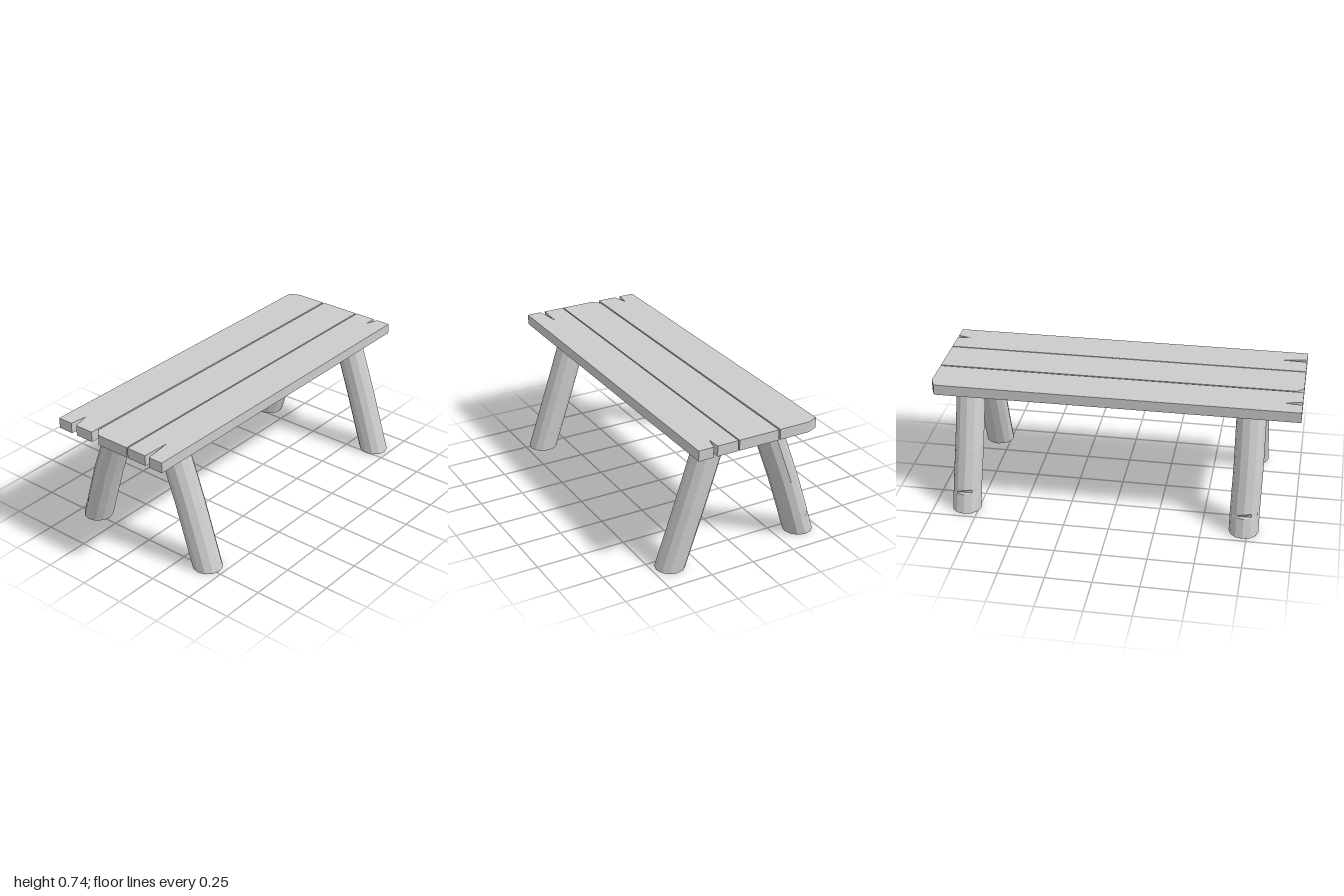
import * as THREE from 'three';

const material = new THREE.MeshStandardMaterial({ color: 0xcccccc, flatShading: true });
const SEAT_BOTTOM = 0.68, SEAT_THICKNESS = 0.058, LEG_RADIUS = 0.081;

// A plank from its outline, given as [x, z] corners
function plank(name, outline) {
  const shape = new THREE.Shape(outline.map(([x, z]) => new THREE.Vector2(x, -z)));
  const geometry = new THREE.ExtrudeGeometry(shape, { depth: SEAT_THICKNESS, bevelEnabled: false });
  geometry.rotateX(-Math.PI / 2).translate(0, SEAT_BOTTOM, 0);
  const mesh = new THREE.Mesh(geometry, material);
  mesh.name = name;
  return mesh;
}

// A leaning log: a cylinder whose rows follow level rings { y, x, z, cut }, top to bottom.
// A ring with a cut has its rear flattened, which makes a small axe notch.
function leg(name, x0, rings) {
  const rows = rings.length - 1;
  const geometry = new THREE.CylinderGeometry(LEG_RADIUS, LEG_RADIUS, rows, 12, rows);
  const p = geometry.attributes.position;
  for (let i = 0; i < p.count; i++) {
    const ring = rings[Math.round(rows / 2 - p.getY(i))];
    const dz = ring.cut ? Math.max(p.getZ(i), -ring.cut) : p.getZ(i);
    p.setXYZ(i, p.getX(i) + x0 + ring.x, ring.y, dz + ring.z);
  }
  geometry.computeVertexNormals();
  const mesh = new THREE.Mesh(geometry, material);
  mesh.name = name;
  return mesh;
}

export function createModel() {
  const model = new THREE.Group();
  model.name = 'bench';

  // Seat planks with split ends and worn corners
  model.add(
    plank('frontPlank', [
      [-1, 0.112], [1, 0.112], [1, 0.232], [0.925, 0.235], [1, 0.255],
      [1, 0.34], [-1, 0.34], [-1, 0.255], [-0.84, 0.235], [-1, 0.23],
    ]),
    plank('middlePlank', [
      [-0.96, -0.127], [1, -0.127], [1, 0.105], [-1, 0.105], [-1, -0.09],
    ]),
    plank('backPlank', [
      [-1, -0.368], [0.975, -0.368], [1, -0.308], [1, -0.136],
      [-1, -0.136], [-1, -0.245], [-0.905, -0.27], [-1, -0.28],
    ]),
  );

  // Splayed legs, slightly bent halfway; the back ones are notched near the foot
  const frontRings = [
    { y: 0.684, x: 0, z: 0.165 },
    { y: 0.35, x: 0.005, z: 0.279 },
    { y: 0, x: 0, z: 0.397 },
  ];
  const backRings = [
    { y: 0.684, x: 0, z: -0.165 },
    { y: 0.34, x: -0.004, z: -0.291 },
    { y: 0.128, x: 0, z: -0.357 },
    { y: 0.11, x: 0, z: -0.362, cut: 0.066 },
    { y: 0.104, x: 0, z: -0.364 },
    { y: 0, x: 0, z: -0.396 },
  ];
  for (const [side, x] of [['Right', -0.73], ['Left', 0.82]]) {
    model.add(leg('front' + side + 'Leg', x, frontRings));
    model.add(leg('back' + side + 'Leg', x, backRings));
  }
  return model;
}
